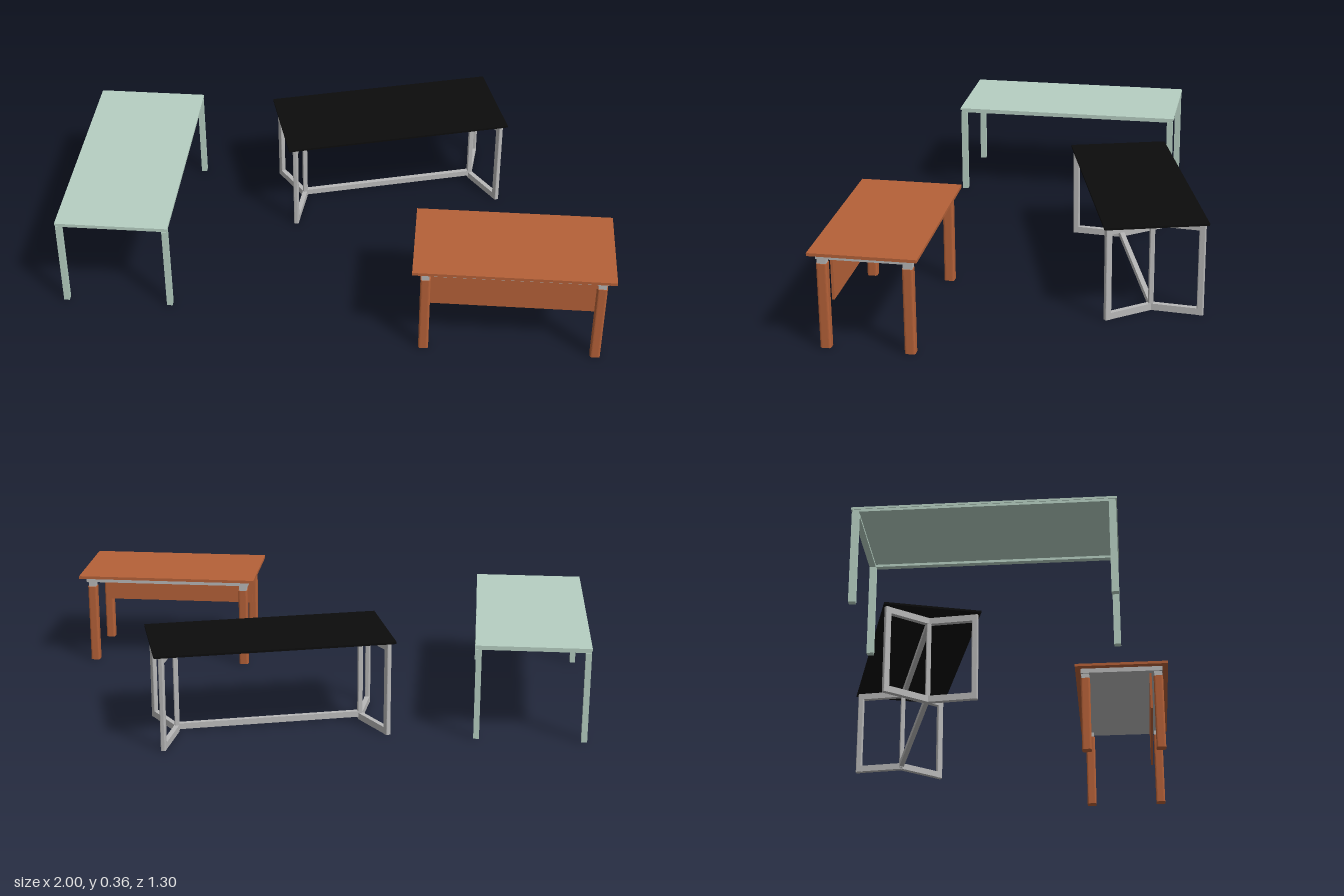
import * as THREE from 'three';

const material = (name, color) => {
  const m = new THREE.MeshStandardMaterial({ color });
  m.name = name;
  return m;
};

export function createModel() {
  const green = material('pale green', 0xb6cfc2);
  const orange = material('burnt orange', 0xb56138);
  const black = material('black', 0x0c0c0c);
  const steel = material('steel grey', 0xb8b8b8);

  const group = (name, x, z, turn = 0) => {
    const g = new THREE.Group();
    g.name = name;
    g.position.set(x, 0, z);
    g.rotation.y = turn;
    return g;
  };
  const add = (parent, name, geometry, mat, x, y, z) => {
    const mesh = new THREE.Mesh(geometry, mat);
    mesh.name = name;
    mesh.position.set(x, y, z);
    parent.add(mesh);
    return mesh;
  };
  // Box spanning heights y0 to y1
  const box = (parent, name, mat, w, d, y0, y1, x = 0, z = 0) =>
    add(parent, name, new THREE.BoxGeometry(w, y1 - y0, d), mat, x, (y0 + y1) / 2, z);
  const corners = (x, z, fn) => {
    for (const sx of [-1, 1]) for (const sz of [-1, 1]) fn(sx * x, sz * z);
  };
  // Upright post with a rounded rectangular section
  const post = (w, d, r, h) => {
    const a = w / 2, b = d / 2, s = new THREE.Shape();
    s.moveTo(-a + r, -b);
    s.lineTo(a - r, -b).quadraticCurveTo(a, -b, a, -b + r);
    s.lineTo(a, b - r).quadraticCurveTo(a, b, a - r, b);
    s.lineTo(-a + r, b).quadraticCurveTo(-a, b, -a, b - r);
    s.lineTo(-a, -b + r).quadraticCurveTo(-a, -b, -a + r, -b);
    const g = new THREE.ExtrudeGeometry(s, { depth: h, bevelEnabled: false, curveSegments: 5 });
    return g.rotateX(-Math.PI / 2);
  };

  // Long green table: thin top, rim frame below and slim square legs
  const longTable = group('longTable', -0.795, 0.025);
  box(longTable, 'greenTop', green, 0.41, 0.89, 0.348, 0.356);
  for (const s of [-1, 1]) {
    box(longTable, 'sideRail', green, 0.02, 0.88, 0.339, 0.348, s * 0.193);
    box(longTable, 'endRail', green, 0.366, 0.02, 0.339, 0.348, 0, s * 0.43);
  }
  corners(0.193, 0.43, (x, z) => box(longTable, 'greenLeg', green, 0.021, 0.024, 0, 0.339, x, z));

  // Orange desk: top over a grey tray, thick legs and a front panel
  const desk = group('desk', 0.6475, 0.4625);
  box(desk, 'deskTop', orange, 0.705, 0.375, 0.349, 0.36);
  box(desk, 'underTray', steel, 0.655, 0.33, 0.33, 0.349);
  box(desk, 'frontPanel', orange, 0.61, 0.009, 0.175, 0.33, 0, 0.116);
  const legShape = post(0.036, 0.038, 0.009, 0.31);
  corners(0.306, 0.147, (x, z) => {
    add(desk, 'deskLeg', legShape, orange, x, 0, z);
    box(desk, 'legCollar', steel, 0.028, 0.032, 0.31, 0.33, x, z);
  });

  // Black table, turned, on two V-shaped steel frames joined by beams
  const turned = group('turnedTable', 0.156, -0.3525, 0.281);
  box(turned, 'blackTop', black, 0.864, 0.369, 0.349, 0.357);
  const bar = (name, x0, z0, x1, z1, y, t, h) => {
    const m = add(turned, name, new THREE.BoxGeometry(Math.hypot(x1 - x0, z1 - z0), h, t),
      steel, (x0 + x1) / 2, y, (z0 + z1) / 2);
    m.rotation.y = -Math.atan2(z1 - z0, x1 - x0);
  };
  const apex = 0.34, legX = 0.405, legZ = 0.166;
  for (const s of [-1, 1]) {
    add(turned, 'apexPost', post(0.018, 0.018, 0.004, 0.335), steel, s * apex, 0.007, 0);
    for (const e of [-1, 1]) {
      const leg = add(turned, 'frameLeg', post(0.024, 0.018, 0.005, 0.349), steel, s * legX, 0, e * legZ);
      leg.rotation.y = -Math.atan2(e * legZ, s * (legX - apex));
      for (const y of [0.013, 0.336])
        bar('frameBar', s * apex, 0, s * legX, e * legZ, y, 0.018, 0.025);
    }
  }
  for (const y of [0.022, 0.332]) bar('longBeam', -apex, 0, apex, 0, y, 0.018, 0.022);

  const model = new THREE.Group();
  model.name = 'threeTables';
  model.add(longTable, desk, turned);
  return model;
}
